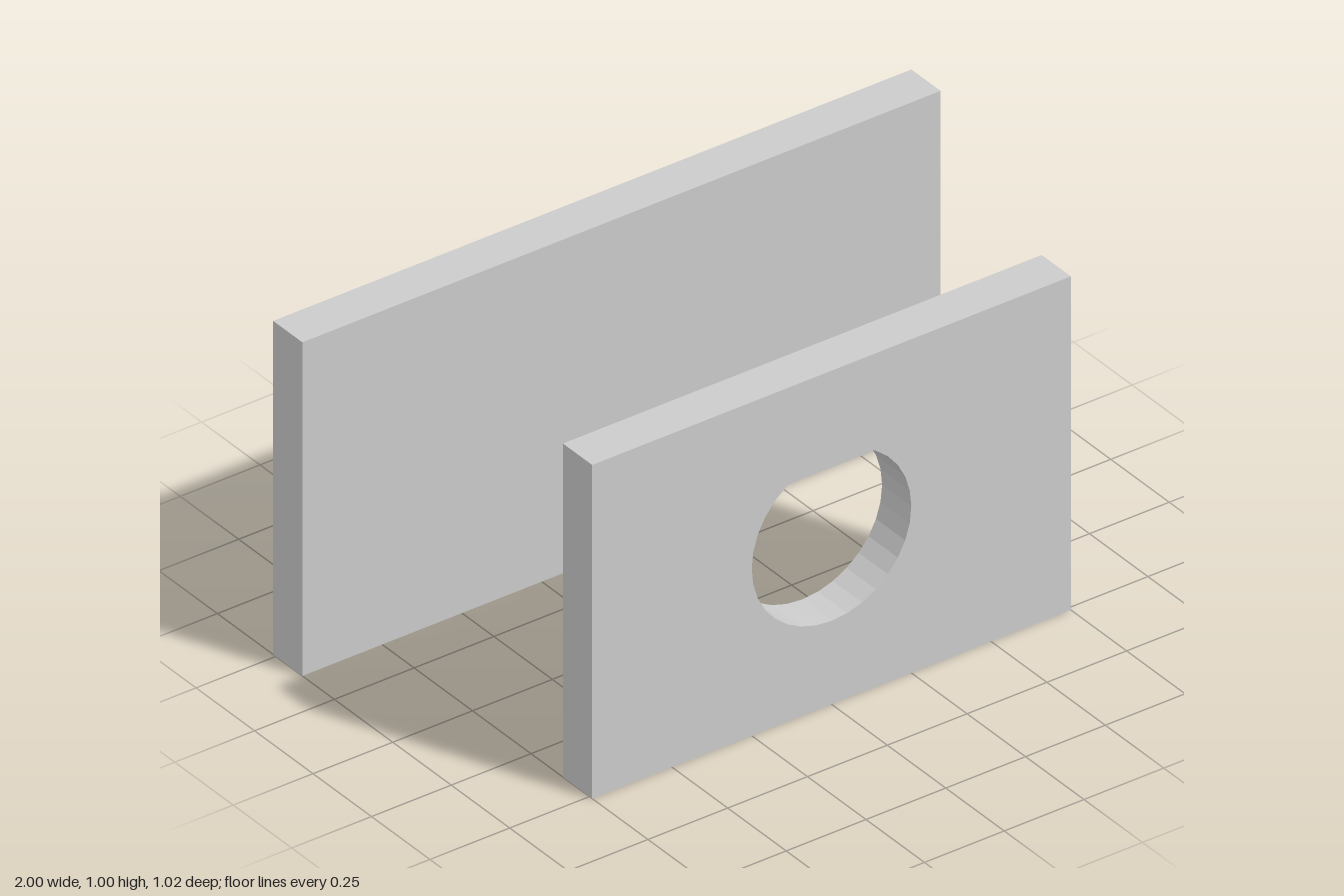
import * as THREE from 'three';

const HEIGHT = 1;
const THICKNESS = 0.125;
const OFFSET = 0.449; // distance of each plate's middle from the centre

export function createModel() {
  const model = new THREE.Group();
  const material = new THREE.MeshStandardMaterial({ color: 0xcccccc });

  // Front plate with a round through-hole
  const outline = new THREE.Shape([
    new THREE.Vector2(-0.75, 0),
    new THREE.Vector2(0.75, 0),
    new THREE.Vector2(0.75, HEIGHT),
    new THREE.Vector2(-0.75, HEIGHT),
  ]);
  outline.holes.push(new THREE.Path().absarc(0, HEIGHT / 2, 0.25, 0, Math.PI * 2, true));
  const frontPlate = new THREE.Mesh(
    new THREE.ExtrudeGeometry(outline, { depth: THICKNESS, bevelEnabled: false, curveSegments: 16 }),
    material
  );
  frontPlate.name = 'frontPlate';
  frontPlate.position.z = OFFSET - THICKNESS / 2;
  model.add(frontPlate);

  // Wider solid back plate
  const backPlate = new THREE.Mesh(new THREE.BoxGeometry(2, HEIGHT, THICKNESS), material);
  backPlate.name = 'backPlate';
  backPlate.position.set(0, HEIGHT / 2, -OFFSET);
  model.add(backPlate);

  return model;
}
